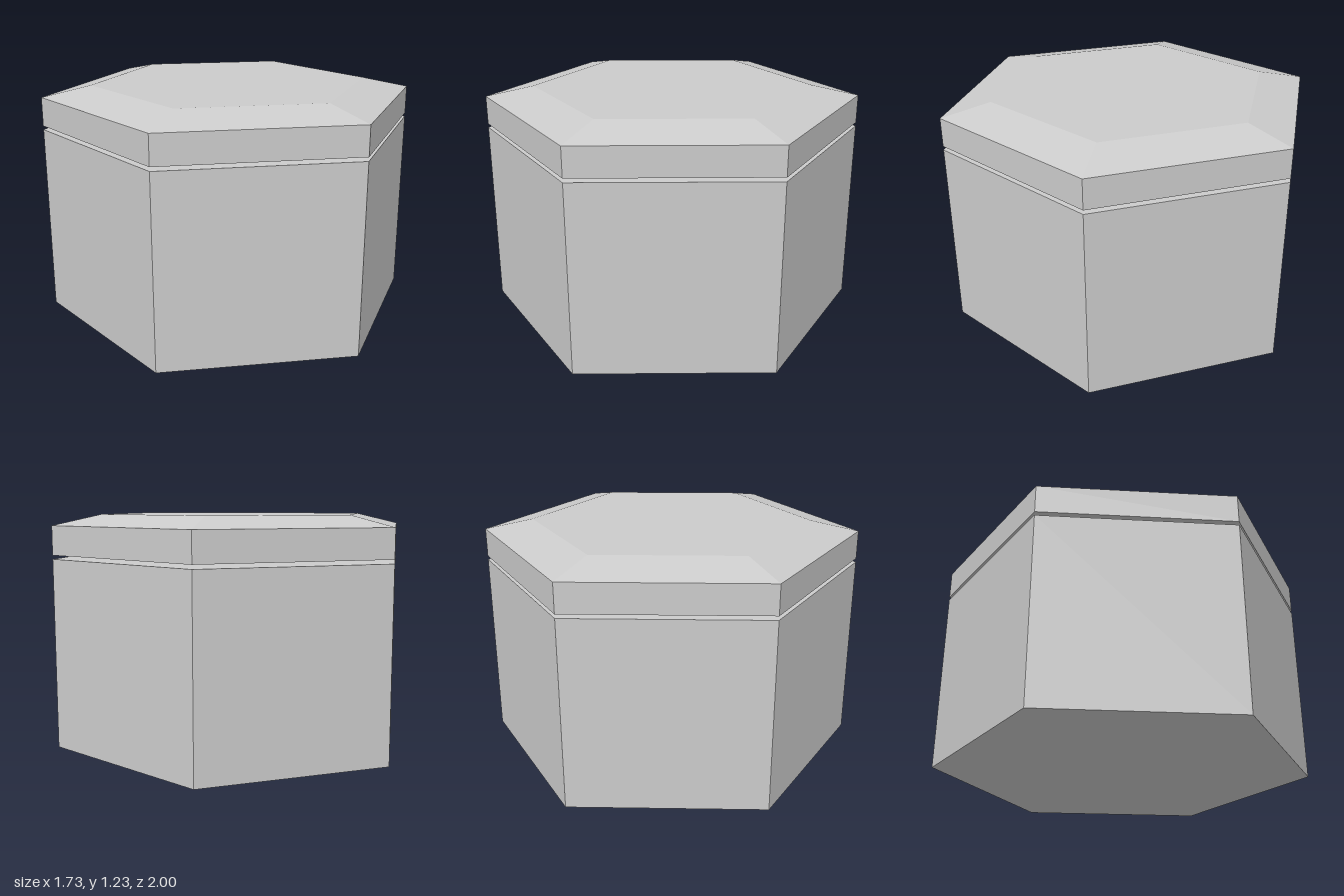
import * as THREE from 'three';

const SIDES = 6;

// Closed six-sided solid from a [radius, height] profile, listed bottom to top
function hexSolid(name, profile, material) {
  const points = profile.map(([r, y]) => new THREE.Vector2(r, y));
  const mesh = new THREE.Mesh(new THREE.LatheGeometry(points, SIDES), material);
  mesh.name = name;
  return mesh;
}

export function createModel() {
  const group = new THREE.Group();
  group.name = 'hexagonalBox';
  const material = new THREE.MeshStandardMaterial({ color: 0xcccccc, flatShading: true });

  // Straight-walled body
  group.add(hexSolid('body', [[0, 0], [1, 0], [1, 1], [0, 1]], material));

  // Lid with a bevelled top, held just above the body by a thin gap
  group.add(hexSolid('lid', [[0, 1.02], [1, 1.02], [1, 1.172], [0.743, 1.229], [0, 1.229]], material));

  return group;
}
